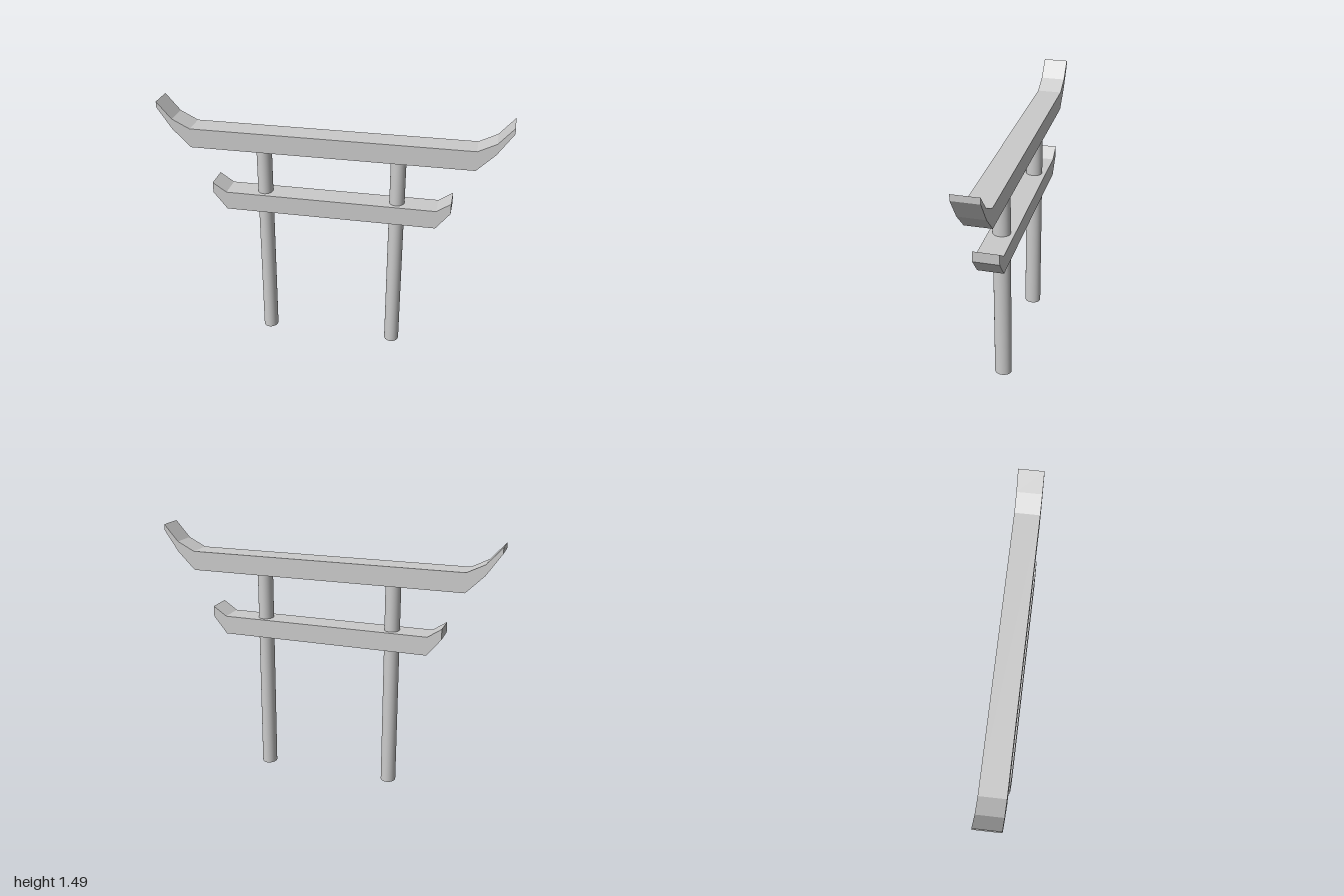
import * as THREE from 'three';

const DEPTH = 0.147;

// Extrudes a mirrored beam from its right-hand outline, listed bottom to top
function makeBeam(name, half, material) {
  const left = half.map(([x, y]) => [-x, y]).reverse();
  const shape = new THREE.Shape([...half, ...left].map(([x, y]) => new THREE.Vector2(x, y)));
  const geometry = new THREE.ExtrudeGeometry(shape, { depth: DEPTH, bevelEnabled: false });
  geometry.translate(0, 0, -DEPTH / 2);
  const beam = new THREE.Mesh(geometry, material);
  beam.name = name;
  return beam;
}

export function createModel() {
  const group = new THREE.Group();
  group.name = 'gate';
  const material = new THREE.MeshStandardMaterial({ color: 0xcccccc });

  // Upper beam with two-step upswept ends
  group.add(makeBeam('upperBeam', [
    [0.812, 1.222], [0.915, 1.325], [1, 1.45],
    [1, 1.485], [0.915, 1.387], [0.812, 1.335],
  ], material));

  // Shorter lower beam with single upswept ends
  group.add(makeBeam('lowerBeam', [
    [0.616, 0.844], [0.697, 0.945], [0.697, 1.007], [0.616, 0.952],
  ], material));

  // Slightly oval pillars running up to the upper beam
  const height = 1.223;
  const pillarGeometry = new THREE.CylinderGeometry(1, 1, height, 32);
  pillarGeometry.scale(0.044, 1, 0.05);
  for (const [name, x] of [['leftPillar', 0.384], ['rightPillar', -0.396]]) {
    const pillar = new THREE.Mesh(pillarGeometry, material);
    pillar.name = name;
    pillar.position.set(x, height / 2, 0);
    group.add(pillar);
  }

  return group;
}
